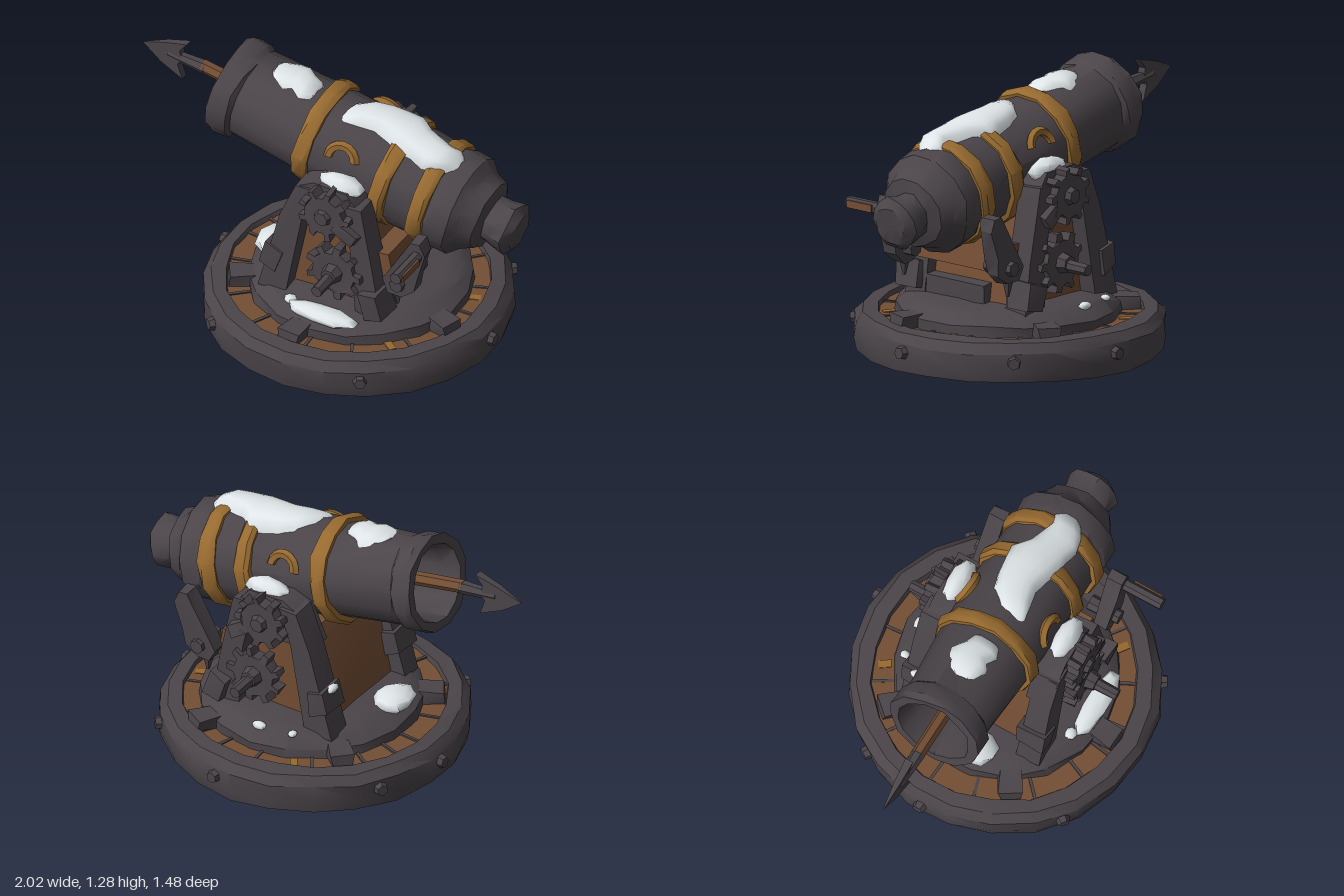
import * as THREE from 'three';
import { toCreasedNormals } from 'three/addons/utils/BufferGeometryUtils.js';

const mat = (name, color, side = THREE.FrontSide) =>
  Object.assign(new THREE.MeshStandardMaterial({ color, side }), { name });

export function createModel() {
  const iron = mat('dark iron', 0x4b454a);
  const wood = mat('brown wood', 0x744e34);
  const brass = mat('brass', 0x976a30);
  const snow = mat('snow', 0xdfe5e8, THREE.DoubleSide);

  const model = new THREE.Group();
  model.name = 'harpoonCannon';

  // Shift vertices by a position hash, so shared corners move together
  function roughen(geo, amount) {
    const p = geo.attributes.position;
    const h = (x, y, z, k) => {
      const v = Math.sin(Math.round(x * 500) * 12.9 + Math.round(y * 500) * 78.2 + Math.round(z * 500) * 37.7 + k) * 4375.5;
      return (v - Math.floor(v) - 0.5) * 2 * amount;
    };
    for (let i = 0; i < p.count; i++) {
      const x = p.getX(i), y = p.getY(i), z = p.getZ(i);
      p.setXYZ(i, x + h(x, y, z, 1), y + h(x, y, z, 2), z + h(x, y, z, 3));
    }
    return geo;
  }
  function add(name, geo, material, parent = model, crease = 0.6) {
    const mesh = new THREE.Mesh(toCreasedNormals(geo, crease), material);
    mesh.name = name;
    parent.add(mesh);
    return mesh;
  }
  const lathe = (pts, sides) => new THREE.LatheGeometry(pts.map(([r, y]) => new THREE.Vector2(r, y)), sides);
  // Outline in x and y, given thickness, centred on zc
  function prism(name, pts, zc, depth, material, rough = 0.006) {
    const geo = new THREE.ExtrudeGeometry(new THREE.Shape(pts.map(([x, y]) => new THREE.Vector2(x, y))),
      { depth, bevelEnabled: false });
    geo.translate(0, 0, zc - depth / 2);
    return add(name, roughen(geo, rough), material);
  }
  function box(name, size, pos, material, turn = [0, 0, 0], rough = 0.006) {
    const mesh = add(name, roughen(new THREE.BoxGeometry(...size), rough), material);
    mesh.position.set(...pos);
    mesh.rotation.set(...turn);
    return mesh;
  }
  function rod(name, a, b, r0, r1, material, sides = 7) {
    const from = new THREE.Vector3(...a), to = new THREE.Vector3(...b);
    const mesh = add(name, new THREE.CylinderGeometry(r1, r0, from.distanceTo(to), sides), material);
    mesh.position.copy(from).lerp(to, 0.5);
    mesh.quaternion.setFromUnitVectors(new THREE.Vector3(0, 1, 0), to.sub(from).normalize());
    return mesh;
  }
  function snowPile(pos, scale) {
    const mesh = add('snowPile', roughen(new THREE.SphereGeometry(1, 9, 6), 0.1), snow, model, 1);
    mesh.position.set(...pos);
    mesh.scale.set(...scale);
  }

  // Round base: iron rim, plank deck, raised turntable
  const CX = 0.145;
  add('baseRim', roughen(lathe([[0, 0], [0.715, 0], [0.73, 0.06], [0.725, 0.14], [0.69, 0.185], [0.62, 0.19],
    [0.605, 0.14]], 22), 0.007), iron).position.x = CX;
  add('deck', roughen(lathe([[0.635, 0.15], [0.62, 0.168], [0, 0.168]], 22), 0.004), wood).position.x = CX;
  for (let i = 0; i < 18; i++) {
    const a = i * Math.PI / 9 + 0.1 * Math.sin(i * 5);
    box('plankSeam', [0.16, 0.008, 0.012], [CX + 0.55 * Math.cos(a), 0.171, 0.55 * Math.sin(a)], iron, [0, -a, 0], 0.002);
    if (i % 5 === 2) box('wornSpot', [0.06, 0.006, 0.035],
      [CX + 0.56 * Math.cos(a + 0.15), 0.172, 0.56 * Math.sin(a + 0.15)], brass, [0, -a, 0], 0.002);
  }
  add('turntable', roughen(lathe([[0.53, 0.16], [0.525, 0.215], [0.47, 0.262], [0.4, 0.275], [0, 0.275]], 18), 0.008), iron)
    .position.x = 0.165;
  for (const a of [0.05, 1.05, 2.25, 3.2, 3.7, 4.83, 5.55]) {
    const c = Math.cos(a), s = Math.sin(a);
    rod('rimBolt', [CX + 0.69 * c, 0.1, 0.69 * s], [CX + 0.75 * c, 0.1, 0.75 * s], 0.04, 0.028, iron, 6);
  }
  for (const a of [0.3, 1.65, 2.6, 3.9, 5.25])
    box('turntableClamp', [0.13, 0.06, 0.1], [0.16 + 0.55 * Math.cos(a), 0.2, 0.55 * Math.sin(a)], iron, [0, -a, 0], 0.01);

  // Wooden carriage between the cheeks
  prism('carriageBody', [[-0.13, 0.2], [0.42, 0.2], [0.34, 0.64], [0.3, 0.72], [0, 0.72], [-0.03, 0.66]], 0, 0.56, wood);
  box('rearPlank', [0.1, 0.15, 0.57], [0.43, 0.51, 0], wood, [0, 0, 0.15]);
  box('rearSill', [0.06, 0.1, 0.4], [0.42, 0.31, 0.1], iron);

  function gear(name, x, y, z, r, depth) {
    const pts = [];
    for (let i = 0; i < 9; i++) for (const [o, k] of [[-0.2, 0.76], [-0.13, 1], [0.13, 1], [0.2, 0.76]]) {
      const a = (i + o * 1.15) * Math.PI * 2 / 9;
      pts.push([x + r * k * Math.cos(a), y + r * k * Math.sin(a)]);
    }
    prism(name, pts, z, depth, iron, 0.005);
  }

  // Mirrored side frames with gears and cranks
  for (const s of [1, -1]) {
    prism('frontLeg', [[-0.19, 0.25], [-0.04, 0.25], [0.05, 0.7], [0.1, 0.88], [0.01, 0.88], [-0.07, 0.69]], s * 0.305, 0.12, iron);
    prism('rearLeg', [[0.33, 0.25], [0.47, 0.25], [0.43, 0.5], [0.36, 0.85], [0.25, 0.85], [0.31, 0.6]], s * 0.305, 0.12, iron);
    prism('trunnionCheek', [[-0.06, 0.7], [0.36, 0.68], [0.35, 0.82], [0.28, 0.91], [0.1, 0.92], [0.01, 0.87]], s * 0.285, 0.13, iron);
    box('legClamp', [0.09, 0.12, 0.15], [-0.11, 0.43, s * 0.305], iron, [0, 0, -0.25], 0.01);
    box('legFoot', [0.1, 0.13, 0.14], [0.43, 0.35, s * 0.34], iron, [0, 0, 0.3], 0.012);
    gear('upperGear', 0.187, 0.79, s * 0.375, 0.135, 0.07);
    gear('lowerGear', 0.23, 0.476, s * 0.365, 0.145, 0.06);
    rod('upperGearHub', [0.187, 0.79, s * 0.38], [0.187, 0.79, s * 0.435], 0.055, 0.035, iron);
    rod('lowerGearHub', [0.23, 0.476, s * 0.36], [0.23, 0.476, s * 0.44], 0.06, 0.04, iron);
    rod('gearAxle', [0.23, 0.47, s * 0.3], [0.23, 0.465, s * 0.55], 0.035, 0.028, iron);
    box('cheekLatch', [0.12, 0.06, 0.06], [0.3, 0.72, s * 0.38], iron, [0, 0, -0.5], 0.01);
    prism('crankArm', [[0.47, 0.5], [0.5, 0.435], [0.57, 0.43], [0.63, 0.48], [0.65, 0.56], [0.69, 0.7], [0.67, 0.76],
      [0.62, 0.76], [0.57, 0.68]], s * 0.315, 0.075, iron);
    rod('crankPin', [0.555, 0.505, s * 0.22], [0.555, 0.505, s * 0.38], 0.04, 0.035, iron);
    rod('crankSpike', [0.53, 0.45, s * 0.315], [0.53, 0.36, s * 0.315], 0.03, 0.008, iron, 5);
    snowPile([0.21, 0.9, s * 0.285], [0.115, 0.06, 0.06]);
  }
  rod('crankHandle', [0.65, 0.69, 0.32], [0.65, 0.69, 0.55], 0.03, 0.03, iron);
  box('handleGrip', [0.008, 0.035, 0.15], [0.68, 0.69, 0.46], wood, [0, 0, 0], 0.001);

  // Tilted barrel: local x runs from muzzle to breech
  const barrel = new THREE.Group();
  barrel.name = 'barrel';
  barrel.position.set(-0.53, 1.05, 0);
  barrel.rotation.z = -0.203;
  model.add(barrel);
  const alongX = g => g.rotateZ(-Math.PI / 2);
  add('barrelTube', alongX(roughen(lathe([[0, 0.33], [0.16, 0.33], [0.17, 0.1], [0.19, 0], [0.235, 0], [0.24, 0.03], [0.235, 0.1],
    [0.215, 0.12], [0.228, 0.45], [0.24, 0.7], [0.24, 1.0], [0.235, 1.17], [0.25, 1.2], [0.245, 1.29], [0.2, 1.33],
    [0.17, 1.4], [0.11, 1.42], [0.115, 1.46], [0.13, 1.53], [0.09, 1.565], [0, 1.565]], 13), 0.007)), iron, barrel);
  for (const [s, w, r] of [[0.51, 0.08, 0.263], [0.925, 0.085, 0.268], [1.135, 0.085, 0.265]])
    add('brassBand', alongX(roughen(lathe([[0.21, s - w / 2], [r - 0.012, s - w / 2], [r, s - w / 4], [r, s + w / 4],
      [r - 0.012, s + w / 2], [0.21, s + w / 2]], 13), 0.006)), brass, barrel);
  // Half-round brass lugs on both flanks
  for (const s of [1, -1]) {
    const lug = add('brassLug', new THREE.TorusGeometry(0.068, 0.023, 5, 8, Math.PI), brass, barrel);
    lug.position.set(0.705, 0.09, s * 0.222);
    lug.rotation.set(-s * 0.35, 0, 0.2);
  }

  // Snow lying on the barrel; rows: distance, left angle, right angle, radius
  function drift(rows) {
    const geo = new THREE.PlaneGeometry(1, 1, 8, rows.length - 1), p = geo.attributes.position;
    rows.forEach(([s, a0, a1, r], j) => {
      for (let i = 0; i <= 8; i++) {
        const u = i / 4 - 1, a = a0 + (a1 - a0) * i / 8, rr = 0.222 + (r - 0.222) * (1 - u ** 4);
        p.setXYZ(j * 9 + i, s, rr * Math.cos(a), rr * Math.sin(a));
      }
    });
    geo.computeVertexNormals();
    add('barrelSnow', geo, snow, barrel, 1);
  }
  drift([[0.2, -0.1, 0.15, 0.21], [0.22, -0.25, 0.3, 0.232], [0.29, -0.45, 0.45, 0.247], [0.33, -0.5, 0.35, 0.25],
    [0.38, -0.3, 0.48, 0.25], [0.43, -0.2, 0.4, 0.24], [0.45, -0.05, 0.2, 0.21]]);
  drift([[0.6, 0.2, 0.45, 0.22], [0.63, -0.1, 0.55, 0.25], [0.7, -0.45, 0.5, 0.268], [0.78, -0.55, 0.42, 0.28],
    [0.86, -0.6, 0.5, 0.288], [0.93, -0.65, 0.6, 0.292], [1.0, -0.35, 0.6, 0.288], [1.07, -0.25, 0.68, 0.288],
    [1.13, -0.15, 0.6, 0.29], [1.18, -0.2, 0.5, 0.275], [1.23, 0, 0.3, 0.23]]);

  // Harpoon with barbed flat head
  rod('harpoonShaft', [-0.22, 1.0, 0], [-0.68, 1.085, 0], 0.034, 0.032, wood, 6);
  rod('harpoonSocket', [-0.665, 1.08, 0], [-0.86, 1.1, 0], 0.034, 0.022, iron, 6);
  const head = prism('harpoonHead', [[-1, 1.11], [-0.9, 1.04], [-0.78, 0.985], [-0.805, 1.06], [-0.79, 1.085], [-0.79, 1.125],
    [-0.795, 1.14], [-0.755, 1.19], [-0.87, 1.16]], 0, 0.04, iron, 0);
  // Thin the head toward its tip
  const hp = head.geometry.attributes.position;
  for (let i = 0; i < hp.count; i++) hp.setZ(i, hp.getZ(i) * Math.min(1, 0.1 + (hp.getX(i) + 1) * 5));

  // Snow on the turntable
  snowPile([-0.26, 0.275, 0.06], [0.09, 0.05, 0.12]);
  snowPile([0.2, 0.262, 0.45], [0.18, 0.035, 0.06]);
  snowPile([0.02, 0.268, 0.42], [0.03, 0.02, 0.03]);
  snowPile([0.15, 0.265, -0.46], [0.035, 0.02, 0.025]);
  snowPile([-0.02, 0.268, -0.44], [0.02, 0.015, 0.025]);
  snowPile([-0.15, 0.49, -0.3], [0.02, 0.02, 0.04]);
  return model;
}
